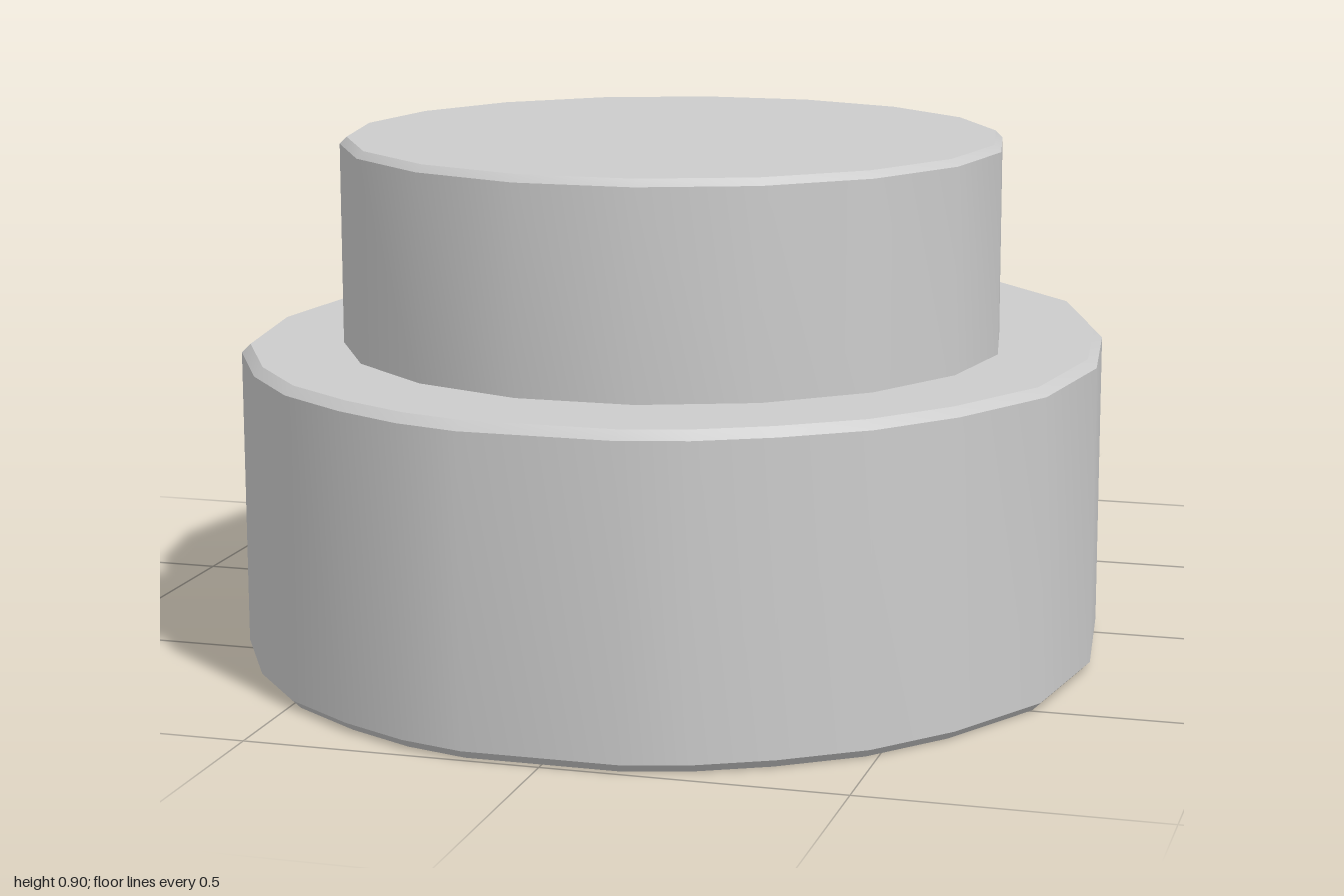
import * as THREE from 'three';
import { toCreasedNormals } from 'three/addons/utils/BufferGeometryUtils.js';
import { ConvexGeometry } from 'three/addons/geometries/ConvexGeometry.js';

export function createModel() {
  const group = new THREE.Group();
  const material = new THREE.MeshStandardMaterial({ color: 0xcccccc });
  const add = (name, geometry, crease = 0.7) => {
    const mesh = new THREE.Mesh(toCreasedNormals(geometry, crease), material);
    mesh.name = name;
    group.add(mesh);
    return mesh;
  };

  // Body: mirrored half outline (x, z) from back to front, extruded upwards
  const half = [
    [0.13, -1], [0.37, -0.8], [0.405, -0.54], [0.615, -0.31], [0.71, -0.04], [0.745, 0.24],
    [0.705, 0.5], [0.6, 0.69], [0.49, 0.82], [0.36, 0.91], [0.24, 0.97], [0.13, 1],
  ];
  const outline = [...half, ...half.map(([x, z]) => [-x, z]).reverse()];
  const bevel = 0.015;
  const body = new THREE.ExtrudeGeometry(
    new THREE.Shape(outline.map(([x, z]) => new THREE.Vector2(x, -z))),
    { depth: 0.546 - 2 * bevel, bevelSize: bevel, bevelOffset: -bevel, bevelThickness: bevel, bevelSegments: 1 },
  );
  body.rotateX(-Math.PI / 2).translate(0, bevel, 0);
  add('body', body);

  // Large round button with a fine bevelled rim, 18 sides
  const button = new THREE.LatheGeometry(
    [[0, 0.52], [0.575, 0.52], [0.575, 0.893], [0.563, 0.905], [0, 0.905]].map(([r, y]) => new THREE.Vector2(r, y)),
    18, Math.PI / 2,
  );
  add('button', button).position.z = 0.24;

  // Small octagonal knob, its sides sloping up to a narrow flat ridge
  const points = [];
  for (const sx of [-1, 1]) {
    for (const sz of [-1, 1]) {
      for (const y of [0.52, 0.655]) {
        points.push(new THREE.Vector3(sx * 0.2, y, sz * 0.083), new THREE.Vector3(sx * 0.083, y, sz * 0.202));
      }
      points.push(new THREE.Vector3(sx * 0.083, 0.735, sz * 0.178));
    }
  }
  add('knob', new ConvexGeometry(points), 0.9).position.z = -0.717;

  return group;
}
